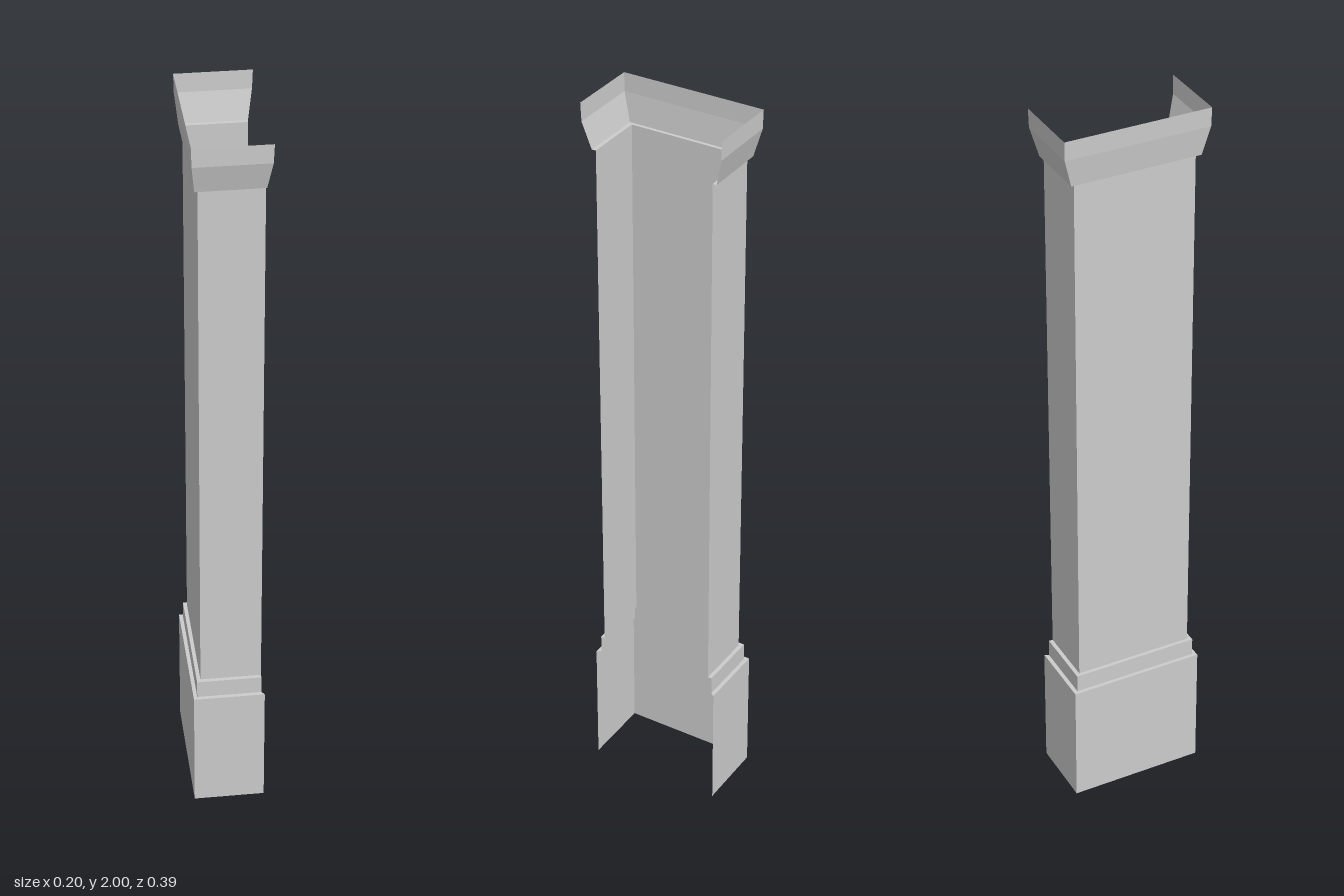
import * as THREE from 'three';

const material = new THREE.MeshStandardMaterial({ color: 0xcccccc, flatShading: true, side: THREE.DoubleSide });

// U-shaped outline, open toward +x. Row: [y, back wall x, open end x, half depth]
const outline = ([y, back, end, depth]) => [
  [end, y, depth], [back, y, depth], [back, y, -depth], [end, y, -depth],
];

// Joins successive outlines into a thin, sharp-edged shell
function shell(name, rows) {
  const points = [];
  for (let i = 0; i < rows.length - 1; i++) {
    const low = outline(rows[i]), high = outline(rows[i + 1]);
    for (let j = 0; j < 3; j++) {
      const a = low[j], b = low[j + 1], c = high[j + 1], d = high[j];
      points.push(...a, ...d, ...c, ...a, ...c, ...b);
    }
  }
  const geometry = new THREE.BufferGeometry();
  geometry.setAttribute('position', new THREE.Float32BufferAttribute(points, 3));
  geometry.computeVertexNormals();
  const mesh = new THREE.Mesh(geometry, material);
  mesh.name = name;
  return mesh;
}

export function createModel() {
  const group = new THREE.Group();
  group.name = 'pilaster';

  const plinthTop = [0.35, -0.099, 0.091, 0.185];
  const bandBottom = [0.35, -0.089, 0.083, 0.174];
  const bandTop = [0.4, -0.089, 0.083, 0.174];
  const shaftBottom = [0.4, -0.079, 0.083, 0.163];
  const shaftTop = [1.875, -0.079, 0.083, 0.163];

  group.add(
    // Plinth with the ledge on its top
    shell('plinth', [[0, -0.099, 0.091, 0.185], plinthTop, bandBottom]),
    // Narrow band stepping in to the shaft
    shell('baseBand', [bandBottom, bandTop, shaftBottom]),
    shell('shaft', [shaftBottom, shaftTop]),
    // Capital: underside ledge, flare, upright rim
    shell('capital', [
      shaftTop,
      [1.875, -0.088, 0.084, 0.174],
      [1.95, -0.096, 0.096, 0.194],
      [2, -0.097, 0.098, 0.195],
    ]),
  );
  return group;
}
